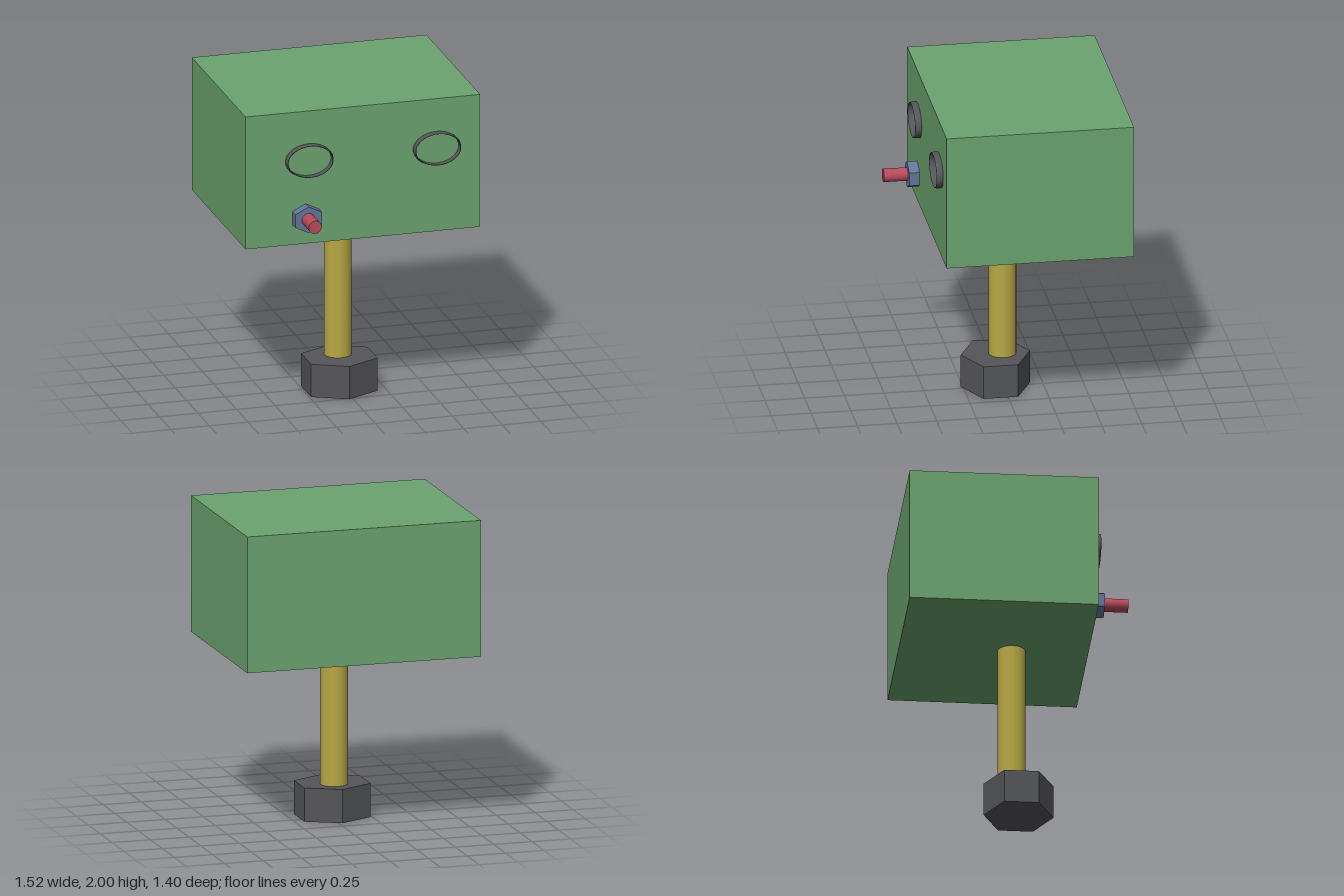
import * as THREE from 'three';

const mat = (color, extra = {}) => new THREE.MeshStandardMaterial({ color, ...extra });

function add(group, name, geometry, material, x, y, z) {
  const mesh = new THREE.Mesh(geometry, material);
  mesh.name = name;
  mesh.position.set(x, y, z);
  group.add(mesh);
  return mesh;
}

export function createModel() {
  const group = new THREE.Group();
  const dark = mat(0x55565a, { flatShading: true });

  // Box head
  add(group, 'head', new THREE.BoxGeometry(1.52, 0.87, 1.18), mat(0x6ca46f), 0, 1.565, -0.11);

  // Round post, slightly off centre
  add(group, 'post', new THREE.CylinderGeometry(0.087, 0.087, 0.93, 32), mat(0xb8a845), -0.022, 0.67, 0.002);

  // Six-sided foot, a little wider than deep
  const foot = new THREE.CylinderGeometry(0.2175, 0.2175, 0.215, 6);
  foot.scale(1.145, 1, 1);
  add(group, 'foot', foot, dark, -0.024, 0.1075, 0.046);

  // Thin oval eye rings, axis turned to +z, lip eased at the front
  const profile = [[0.94, 0], [1, 0], [1, 0.026], [0.975, 0.042], [0.94, 0.042], [0.94, 0]]
    .map(([r, h]) => new THREE.Vector2(r, h));
  const ring = new THREE.LatheGeometry(profile, 48);
  ring.rotateX(Math.PI / 2);
  ring.scale(0.152, 0.107, 1);
  const ringMat = mat(0x55565a, { side: THREE.DoubleSide });
  add(group, 'rightEyeRing', ring, ringMat, -0.35, 1.678, 0.478);
  add(group, 'leftEyeRing', ring, ringMat, 0.477, 1.678, 0.478);

  // Hex nut with one corner up, and the pin through it
  const nut = new THREE.CylinderGeometry(0.086, 0.086, 0.07, 6);
  nut.rotateX(Math.PI / 2);
  nut.scale(1.155, 1, 1);
  add(group, 'nut', nut, mat(0x64769c, { flatShading: true }), -0.37, 1.306, 0.51);

  const pin = new THREE.CylinderGeometry(0.042, 0.042, 0.22, 24);
  pin.rotateX(Math.PI / 2);
  add(group, 'pin', pin, mat(0xb84a5a), -0.372, 1.308, 0.586);

  return group;
}
